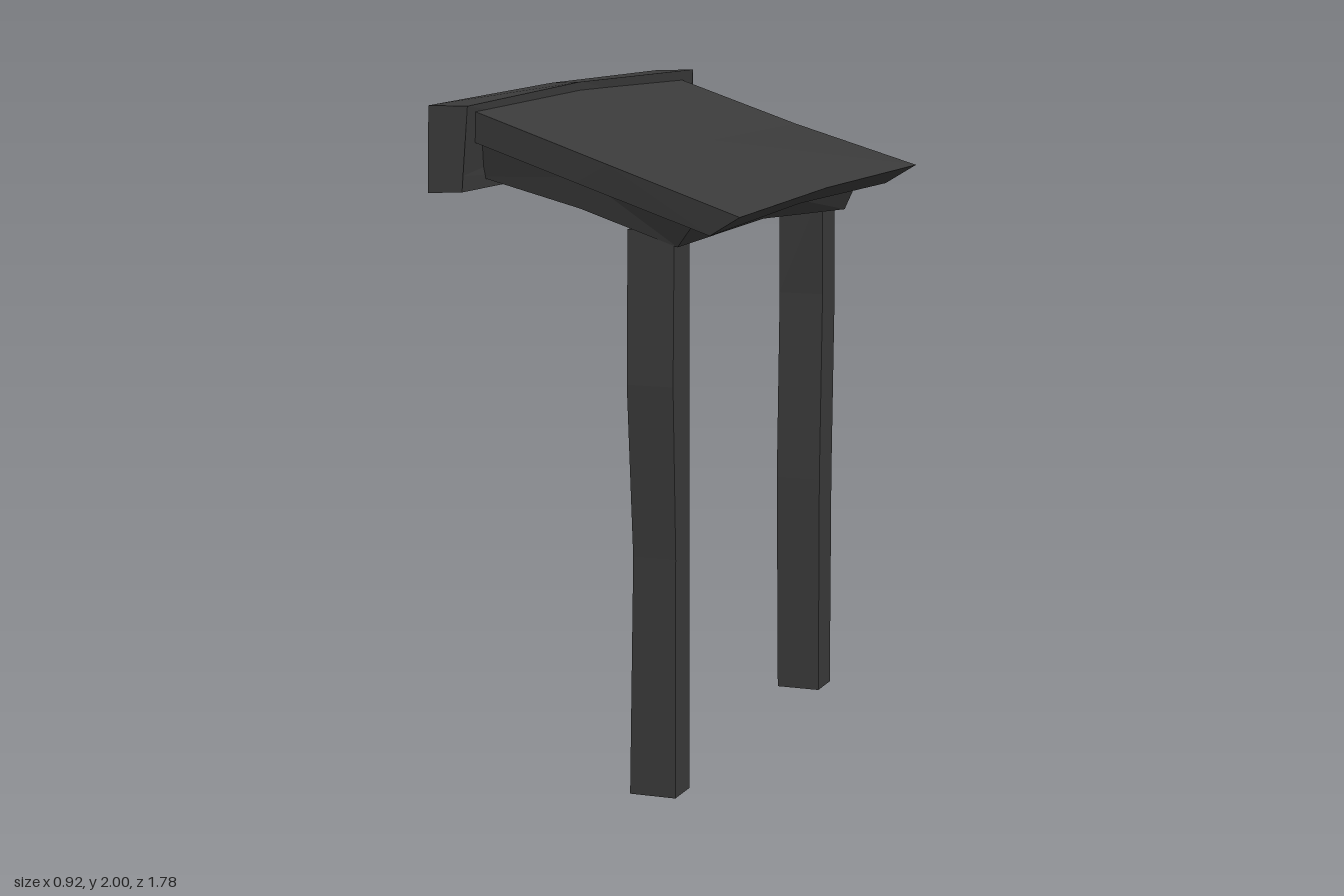
import * as THREE from 'three';

const material = new THREE.MeshStandardMaterial({
  color: 0x3a3a3a, flatShading: true, side: THREE.DoubleSide,
});

// Skins a list of rings of [x, y, z] corners; rings run counterclockwise seen from the last one.
function loft(name, rings, { capStart = true, capEnd = true, skipSide = -1 } = {}) {
  const pos = [];
  const tri = (...pts) => pts.forEach((p) => pos.push(...p));
  const n = rings[0].length;
  for (let i = 0; i < rings.length - 1; i++) {
    for (let j = 0; j < n; j++) {
      if (j === skipSide) continue;
      const k = (j + 1) % n;
      const a = rings[i][j], b = rings[i][k], c = rings[i + 1][k], d = rings[i + 1][j];
      tri(a, b, c);
      tri(a, c, d);
    }
  }
  const first = rings[0], last = rings[rings.length - 1];
  for (let j = 0; j < n - 2; j++) {
    if (capStart) tri(first[n - 1], first[j + 1], first[j]);
    if (capEnd) tri(last[n - 1], last[j], last[j + 1]);
  }
  const geometry = new THREE.BufferGeometry();
  geometry.setAttribute('position', new THREE.Float32BufferAttribute(pos, 3));
  geometry.computeVertexNormals();
  const mesh = new THREE.Mesh(geometry, material);
  mesh.name = name;
  return mesh;
}

// Square post from [y, x0, x1, z0, z1] levels, open underneath
function post(name, levels) {
  const rings = levels.map(([y, x0, x1, z0, z1]) => [
    [x0, y, z1], [x1, y, z1], [x1, y, z0], [x0, y, z0],
  ]);
  return loft(name, rings, { capStart: false });
}

export function createModel() {
  const group = new THREE.Group();
  group.name = 'leanToRoof';

  // Sloping roof panel: upper left, lower left, lower middle, lower right, upper right, upper middle
  group.add(loft('roofPanel', [
    [[-0.38, 1.89, -0.8], [-0.38, 1.885, -0.8], [-0.04, 1.765, -0.77],
      [0.365, 1.645, -0.8], [0.46, 1.705, -0.82], [0.06, 1.83, -0.785]],
    [[-0.38, 1.98, 0], [-0.38, 1.89, 0], [-0.04, 1.775, 0],
      [0.345, 1.655, 0], [0.43, 1.705, 0], [0.06, 1.835, 0]],
    [[-0.38, 1.98, 0.82], [-0.38, 1.89, 0.81], [-0.04, 1.775, 0.81],
      [0.35, 1.64, 0.79], [0.44, 1.695, 0.795], [0.06, 1.83, 0.82]],
  ].map((ring, i) => {
    if (i === 0) ring[0][1] = 1.975;
    return ring;
  })));

  // Thick layer beneath the panel
  group.add(loft('underRoof', [
    [[-0.37, 1.87, -0.76], [-0.37, 1.76, -0.75], [-0.06, 1.68, -0.74],
      [0.24, 1.56, -0.76], [0.285, 1.665, -0.77], [-0.04, 1.785, -0.75]],
    [[-0.37, 1.88, 0], [-0.37, 1.765, 0], [-0.06, 1.69, 0],
      [0.23, 1.605, 0], [0.28, 1.675, 0], [-0.04, 1.785, 0]],
    [[-0.37, 1.88, 0.76], [-0.37, 1.775, 0.73], [-0.06, 1.695, 0.73],
      [0.225, 1.595, 0.71], [0.28, 1.66, 0.74], [-0.04, 1.785, 0.75]],
  ]));

  // Hollow top beam, open on its outer long side
  group.add(loft('topBeam', [
    [[-0.46, 1.985, -0.88], [-0.46, 1.74, -0.88], [-0.33, 1.745, -0.88],
      [-0.335, 1.87, -0.89], [-0.33, 1.99, -0.885]],
    [[-0.46, 1.995, 0], [-0.455, 1.74, 0], [-0.35, 1.74, 0],
      [-0.36, 1.87, 0], [-0.365, 2, 0]],
    [[-0.45, 1.985, 0.89], [-0.455, 1.74, 0.89], [-0.35, 1.745, 0.89],
      [-0.35, 1.79, 0.885], [-0.335, 1.985, 0.88]],
  ], { skipSide: 0 }));

  // Slightly crooked posts
  group.add(post('frontPost', [
    [0, 0.075, 0.215, 0.59, 0.705],
    [0.7, 0.085, 0.215, 0.59, 0.7],
    [1.2, 0.075, 0.215, 0.59, 0.72],
    [1.64, 0.075, 0.215, 0.59, 0.71],
  ]));
  group.add(post('backPost', [
    [0, 0.075, 0.215, -0.72, -0.6],
    [0.7, 0.07, 0.215, -0.72, -0.595],
    [1.3, 0.07, 0.215, -0.74, -0.615],
    [1.64, 0.07, 0.215, -0.73, -0.605],
  ]));

  return group;
}
